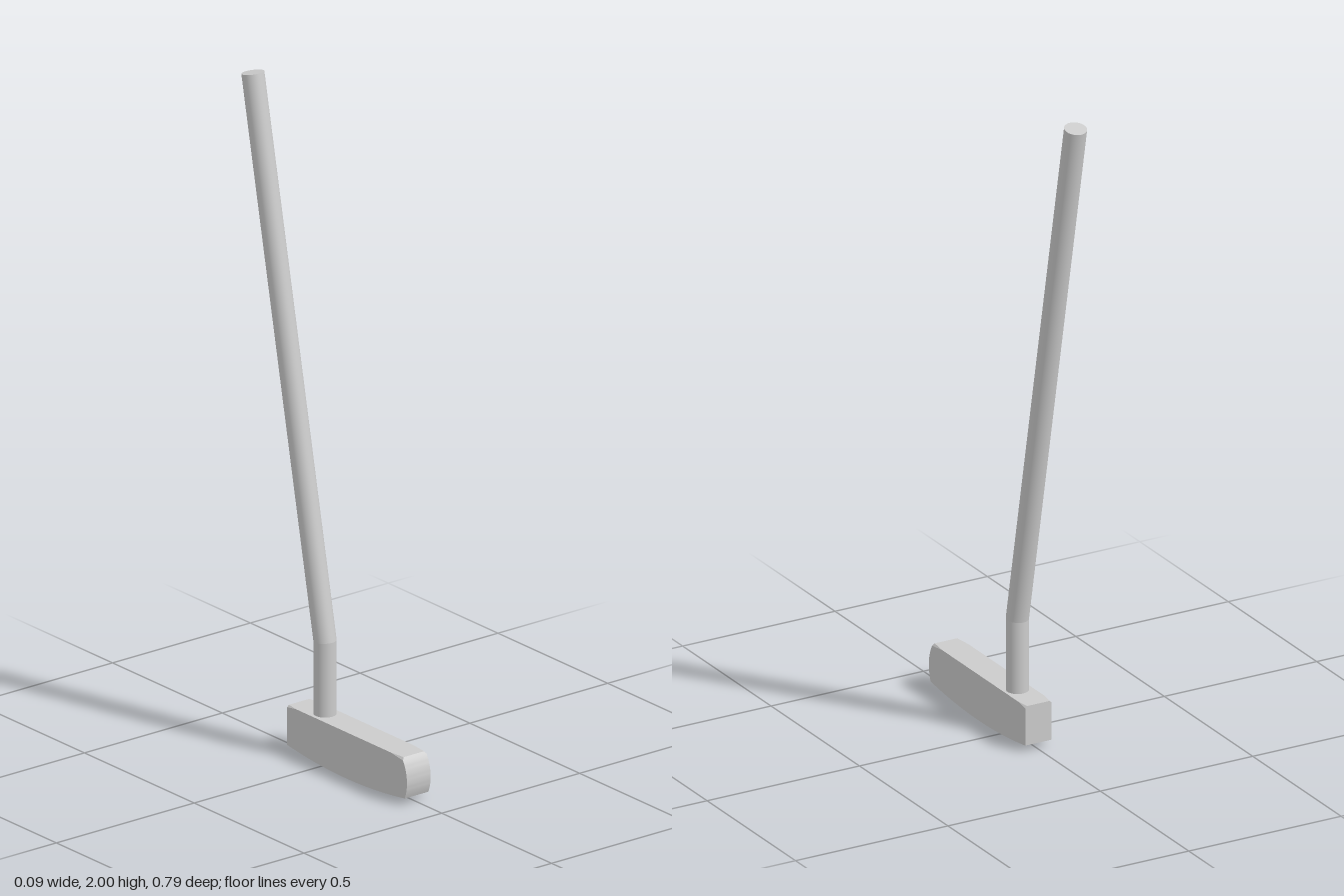
import * as THREE from 'three';
import { toCreasedNormals } from 'three/addons/utils/BufferGeometryUtils.js';
import { ConvexGeometry } from 'three/addons/geometries/ConvexGeometry.js';

const material = new THREE.MeshStandardMaterial({ color: 0xcccccc });

function addPart(group, name, geometry) {
  const mesh = new THREE.Mesh(geometry, material);
  mesh.name = name;
  group.add(mesh);
  return mesh;
}

// Convex block with a bowed sole, a rounded nose and tiny bevels at the top corners
function headGeometry() {
  const halfWidth = 0.043, bevel = 0.006, top = 0.141;
  const points = [];
  const pair = (z, y, x = halfWidth) => {
    for (const side of [-1, 1]) points.push(new THREE.Vector3(side * x, y, z));
  };

  // Sole
  for (let i = 0; i < 12; i++) {
    const z = -0.15 + (0.535 * i) / 12;
    pair(z, 0.02 * ((z - 0.1175) / 0.2675) ** 2);
  }
  // Nose
  const nose = new THREE.QuadraticBezierCurve(
    new THREE.Vector2(0.373, top), new THREE.Vector2(0.411, 0.08), new THREE.Vector2(0.385, 0.02));
  for (let i = 1; i <= 16; i++) {
    const p = nose.getPoint(i / 16);
    pair(p.x, p.y);
  }
  // Top edges and bevelled corners
  pair(0.373, top, halfWidth - bevel);
  pair(0.32, top);
  pair(-0.11, top);
  pair(-0.15, top, halfWidth - bevel);
  pair(-0.15, top - bevel);

  return toCreasedNormals(new ConvexGeometry(points), 0.3);
}

// Upright tube from y = 0 to length, with one end cut at a slant (slope of y over z)
function mitredTube(radius, length, bottomSlope, topSlope, open) {
  const geometry = new THREE.CylinderGeometry(radius, radius, length, 40, 1, open);
  geometry.translate(0, length / 2, 0);
  const p = geometry.attributes.position;
  for (let i = 0; i < p.count; i++) {
    const slope = p.getY(i) > length / 2 ? topSlope : bottomSlope;
    p.setY(i, p.getY(i) + slope * p.getZ(i));
  }
  return geometry;
}

export function createModel() {
  const group = new THREE.Group();
  group.name = 'putter';

  addPart(group, 'head', headGeometry());

  // Upright neck meets the leaning shaft in a mitred joint
  const radius = 0.033, shaftZ = -0.033, neckBase = 0.12, bendY = 0.363;
  const rise = 1.9935 - bendY, run = 0.329;
  const lean = Math.atan2(run, rise);
  const mitre = Math.tan(lean / 2);

  const neck = addPart(group, 'neck', mitredTube(radius, bendY - neckBase, 0, mitre, true));
  neck.position.set(0.001, neckBase, shaftZ);

  const shaft = addPart(group, 'shaft', mitredTube(radius, Math.hypot(rise, run), -mitre, 0, false));
  shaft.position.set(0.001, bendY, shaftZ);
  shaft.rotation.x = -lean;

  return group;
}
